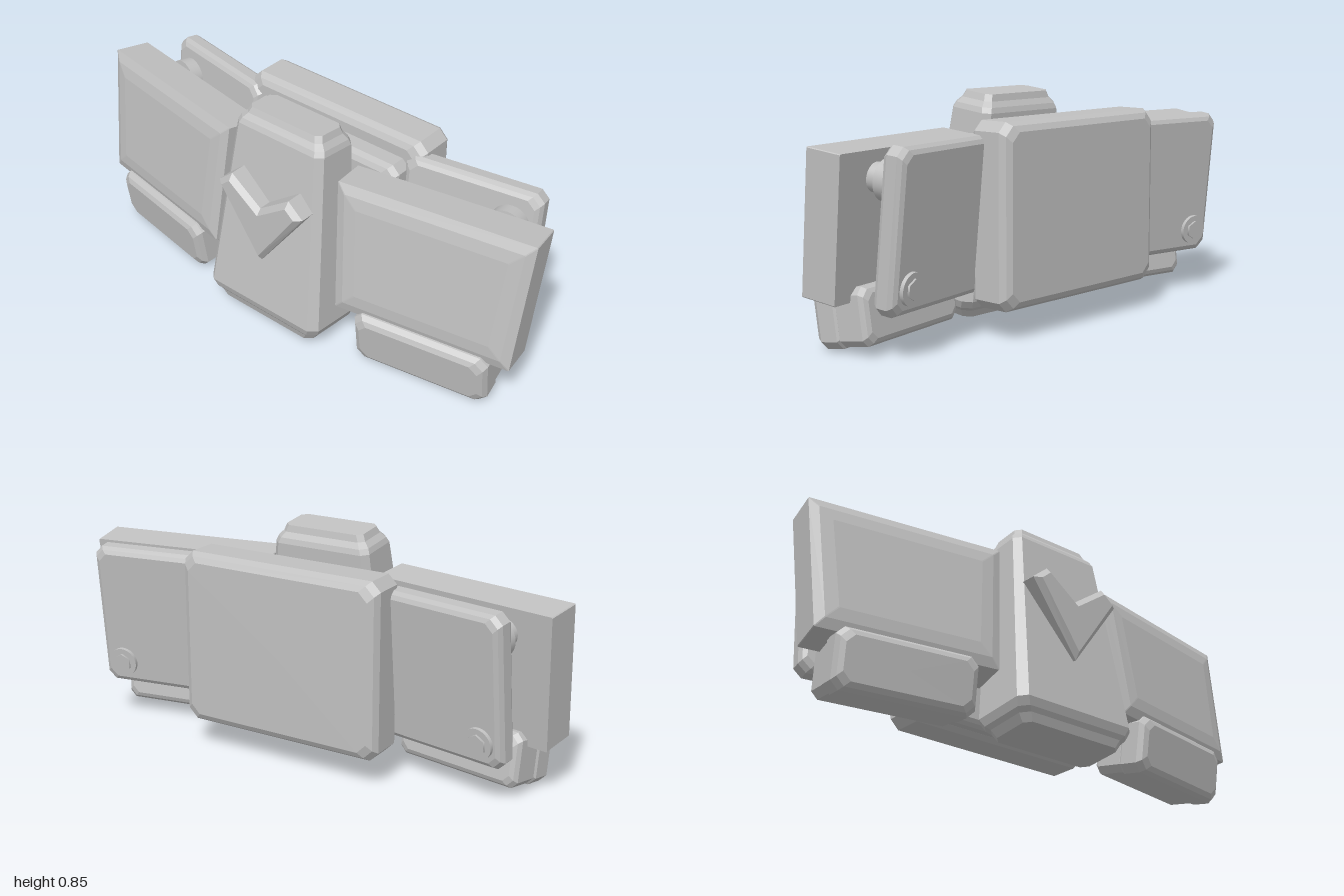
import * as THREE from 'three';

const grey = new THREE.MeshStandardMaterial({ color: 0xc0c0c0 });
grey.name = 'plain grey';

const rad = THREE.MathUtils.degToRad;

// Lofts chamfered trapezoids along z. Layer: [z, half width top, half width bottom, half height, chamfer]
function block(layers) {
  const rings = layers.map(([z, wt, wb, h, c]) => [
    [wb - c, -h], [wb, -h + c], [wt, h - c], [wt - c, h],
    [-wt + c, h], [-wt, h - c], [-wb, -h + c], [-wb + c, -h],
  ].map(([x, y]) => [x, y, z]));
  const pos = [];
  const last = rings.length - 1;
  const low = [0, 0, layers[0][0]], high = [0, 0, layers[last][0]];
  for (let j = 0; j < 8; j++) {
    const k = (j + 1) % 8;
    for (let i = 0; i < last; i++) {
      const a = rings[i][j], b = rings[i][k], c = rings[i + 1][k], d = rings[i + 1][j];
      pos.push(...a, ...b, ...c, ...a, ...c, ...d);
    }
    pos.push(...low, ...rings[0][k], ...rings[0][j], ...high, ...rings[last][j], ...rings[last][k]);
  }
  const geo = new THREE.BufferGeometry();
  geo.setAttribute('position', new THREE.Float32BufferAttribute(pos, 3));
  geo.computeVertexNormals();
  return geo;
}

// Box with two-step bevels on every edge, centred on its origin
function bevelBox(w, h, d, bevel, chamfer = bevel) {
  const layer = (z, inset) => [z, w / 2 - inset, w / 2 - inset, h / 2 - inset, chamfer];
  return block([
    layer(-d / 2, bevel), layer(-d / 2 + bevel * 0.35, bevel * 0.4), layer(-d / 2 + bevel, 0),
    layer(d / 2 - bevel, 0), layer(d / 2 - bevel * 0.35, bevel * 0.4), layer(d / 2, bevel),
  ]);
}

function part(parent, name, geo, x = 0, y = 0, z = 0) {
  const mesh = new THREE.Mesh(geo, grey);
  mesh.name = name;
  mesh.position.set(x, y, z);
  parent.add(mesh);
  return mesh;
}

// Disc whose axis runs along z
const disc = (r, depth, sides) => new THREE.CylinderGeometry(r, r, depth, sides).rotateX(Math.PI / 2);

// One side of the skirt: front plate, pouch and rear plate
function buildSide(s) {
  const side = new THREE.Group();
  side.name = s > 0 ? 'leftSide' : 'rightSide';
  const frame = (name, x, y, z, pitch, yaw) => {
    const g = new THREE.Group();
    g.name = name;
    g.position.set(s * x, y, z);
    g.rotation.set(rad(pitch), rad(s * yaw), 0, 'YXZ');
    side.add(g);
    return g;
  };

  // Large front plate with a bevelled face
  const front = frame('frontPlateGroup', 0.622, 0.455, 0.055, -7, 10);
  part(front, 'frontPlate', block([
    [-0.072, 0.375, 0.345, 0.258, 0.003], [0.07, 0.375, 0.345, 0.258, 0.003],
    [0.084, 0.34, 0.312, 0.222, 0.003], [0.09, 0.29, 0.265, 0.175, 0.003],
  ]));

  // Pouch under the plate, in two shells with a shallow step between them
  const pouch = frame('pouchGroup', 0.63, 0.13, 0.065, 8, 10);
  part(pouch, 'pouchFront', bevelBox(0.53, 0.22, 0.13, 0.03), 0, 0, 0.052);
  part(pouch, 'pouchRear', bevelBox(0.52, 0.205, 0.15, 0.025), 0, 0, -0.043);

  // Rear plate with its spacer and bolt
  const rear = frame('rearPlateGroup', 0.61, 0.445, -0.165, -6, 10);
  part(rear, 'rearPlate', bevelBox(0.53, 0.57, 0.092, 0.025, 0.03));
  part(rear, 'spacer', disc(0.074, 0.05, 32), s * 0.16, 0.15, 0.07);
  part(rear, 'spacerShaft', disc(0.052, 0.08, 32), s * 0.16, 0.15, 0.1);
  part(rear, 'boltWasher', disc(0.058, 0.02, 32), s * 0.175, -0.19, -0.05);
  part(rear, 'boltHead', disc(0.038, 0.03, 6), s * 0.175, -0.19, -0.053);
  return side;
}

export function createModel() {
  const model = new THREE.Group();
  model.name = 'armourSkirt';

  // Tapered centre plate, lofted upward and leaning back
  const centre = part(model, 'centrePlate', block([
    [0, 0.22, 0.22, 0.095, 0.025], [0.03, 0.24, 0.24, 0.108, 0.03],
    [0.045, 0.255, 0.255, 0.122, 0.03], [0.075, 0.268, 0.268, 0.135, 0.03],
    [0.775, 0.203, 0.203, 0.1, 0.025], [0.795, 0.195, 0.195, 0.092, 0.025],
    [0.815, 0.176, 0.176, 0.076, 0.02], [0.84, 0.166, 0.166, 0.068, 0.02],
  ]).rotateX(-Math.PI / 2), 0, 0.014, 0.175);
  centre.rotation.x = rad(-6.2);

  // Raised chevron
  const chevron = new THREE.Shape([
    [0, 0.31], [0.2, 0.585], [0.135, 0.64], [0, 0.545], [-0.135, 0.64], [-0.2, 0.585],
  ].map(([x, y]) => new THREE.Vector2(x, y)));
  part(model, 'chevron', new THREE.ExtrudeGeometry(chevron, {
    depth: 0.1, bevelThickness: 0.02, bevelSize: 0.02, bevelOffset: -0.02, bevelSegments: 1,
  }), 0, 0, 0.18);

  // Rear box and the two blocks in front of it
  part(model, 'rearBox', bevelBox(0.83, 0.665, 0.185, 0.035), 0, 0.443, -0.215);
  part(model, 'upperBlock', bevelBox(0.72, 0.34, 0.14, 0.03), 0, 0.53, -0.105);
  part(model, 'lowerBlock', bevelBox(0.72, 0.22, 0.13, 0.025), 0, 0.235, -0.145);

  for (const s of [1, -1]) model.add(buildSide(s));
  return model;
}
